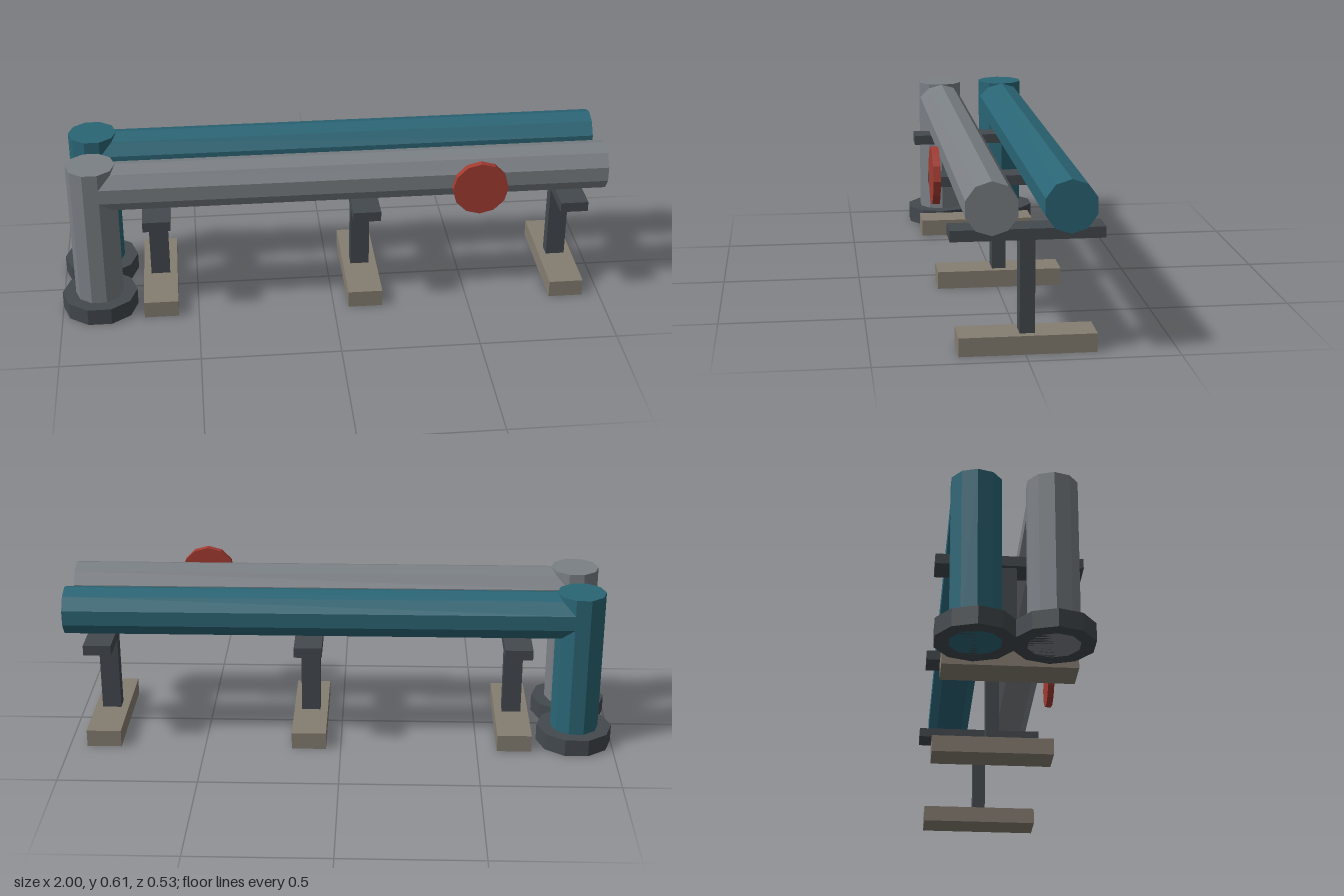
import * as THREE from 'three';

const mat = (color) => new THREE.MeshStandardMaterial({ color, flatShading: true });

export function createModel() {
  const model = new THREE.Group();
  model.name = 'pipeRack';
  const steel = mat(0x7b8085), teal = mat(0x2a6575), dark = mat(0x43494e);
  const concrete = mat(0x857d71), red = mat(0xa23c32);

  const add = (parent, name, geometry, material, x, y, z) => {
    const mesh = new THREE.Mesh(geometry, material);
    mesh.name = name;
    mesh.position.set(x, y, z);
    parent.add(mesh);
    return mesh;
  };

  const pipeR = 0.088, pipeTop = 0.592, pipeY = pipeTop - pipeR;
  const riserX = -0.862, baseH = 0.063, centreZ = -0.009;

  // Ten-sided upright cylinder with corners on the x axis
  const upright = (r, h) => new THREE.CylinderGeometry(r, r, h, 10).rotateY(Math.PI / 2);

  // Two parallel pipes, each with a riser and a foot flange
  const runLength = 1 - riserX;
  for (const [name, material, z] of [['frontPipe', steel, 0.117], ['backPipe', teal, -0.135]]) {
    const pipe = new THREE.Group();
    pipe.name = name;
    const run = new THREE.CylinderGeometry(pipeR, pipeR, runLength, 10)
      .rotateY(Math.PI / 2).rotateZ(Math.PI / 2);
    add(pipe, 'run', run, material, riserX + runLength / 2, pipeY, z);
    add(pipe, 'riser', upright(pipeR, pipeTop), material, riserX, pipeTop / 2, z);
    add(pipe, 'flange', upright(0.138, baseH), dark, riserX, baseH / 2, z);
    model.add(pipe);
  }

  // Supports: footing, post and crossbeam under the pipes
  const beamH = 0.037, beamTop = pipeY - pipeR, postH = beamTop - beamH - baseH;
  for (const x of [-0.637, 0.117, 0.873]) {
    const support = new THREE.Group();
    support.name = 'support';
    add(support, 'footing', new THREE.BoxGeometry(0.126, baseH, 0.453), concrete, x, baseH / 2, centreZ);
    add(support, 'post', new THREE.BoxGeometry(0.07, postH, 0.05), dark, x, baseH + postH / 2, centreZ);
    add(support, 'crossbeam', new THREE.BoxGeometry(0.1, beamH, 0.503), dark, x, beamTop - beamH / 2, centreZ);
    model.add(support);
  }

  // Round valve wheel beside the front pipe
  const wheel = new THREE.CylinderGeometry(0.1, 0.1, 0.025, 12).rotateX(Math.PI / 2);
  add(model, 'valveWheel', wheel, red, 0.52, 0.505, 0.255);

  return model;
}
